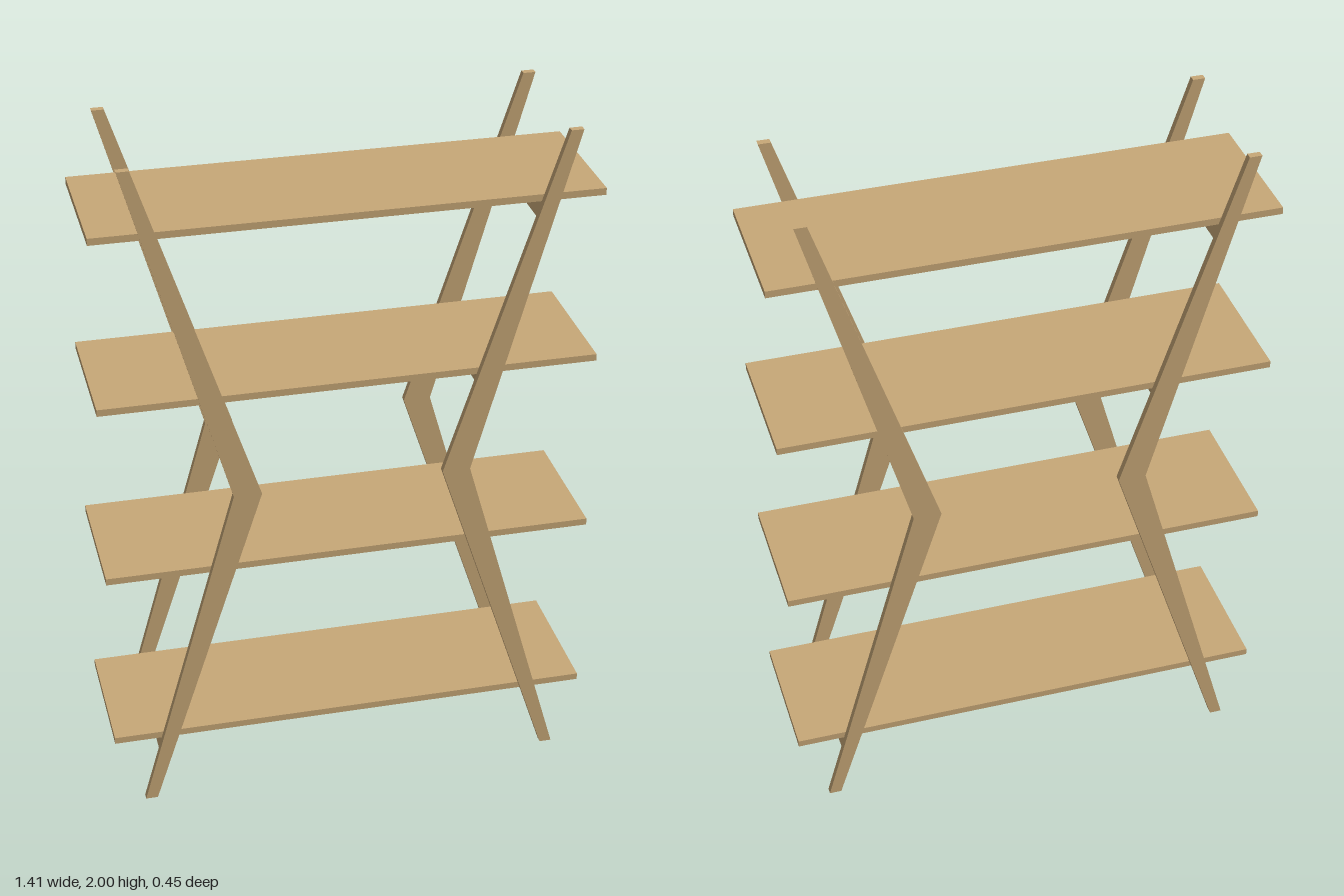
import * as THREE from 'three';

const wood = new THREE.MeshStandardMaterial({ color: 0xc8a878 });
wood.name = 'light wood';

// Extrude an outline of [x, y] points along z
function plank(name, points, z0, depth) {
  const shape = new THREE.Shape(points.map(([x, y]) => new THREE.Vector2(x, y)));
  const geometry = new THREE.ExtrudeGeometry(shape, { depth, bevelEnabled: false });
  geometry.translate(0, 0, z0);
  const mesh = new THREE.Mesh(geometry, wood);
  mesh.name = name;
  return mesh;
}

function box(name, w, h, d, x, y, z) {
  const mesh = new THREE.Mesh(new THREE.BoxGeometry(w, h, d), wood);
  mesh.name = name;
  mesh.position.set(x, y, z);
  return mesh;
}

export function createModel() {
  const group = new THREE.Group();
  group.name = 'bookshelf';
  const halfDepth = 0.205;
  const shelfBottoms = [0.2, 0.75, 1.29, 1.795];

  // Centre line of a leg at a given height
  const legX = (y) => 0.3 + 0.3075 * Math.abs(y - 1);

  // Four bent legs, widest at the knee
  for (const side of [1, -1]) {
    const outline = [[0.59, 0], [0.625, 0], [0.34, 1], [0.625, 2], [0.59, 2], [0.26, 1]]
      .map(([x, y]) => [x * side, y]);
    const sideName = side > 0 ? 'left' : 'right';
    group.add(plank(sideName + 'FrontLeg', outline, halfDepth, 0.02));
    group.add(plank(sideName + 'BackLeg', outline, -halfDepth - 0.02, 0.02));
  }

  shelfBottoms.forEach((y, i) => {
    group.add(box('shelf' + (i + 1), 1.41, 0.02, halfDepth * 2, 0, y + 0.01, 0));
    const middle = i === 1 || i === 2;
    const low = y - 0.052;

    // Cross rails between front and back legs; the outer pairs lean with the legs
    for (const side of [1, -1]) {
      const xTop = middle ? legX(y - 0.026) : legX(y);
      const xLow = middle ? xTop : legX(low);
      const t = 0.0125;
      const outline = [[xLow - t, low], [xLow + t, low], [xTop + t, y], [xTop - t, y]]
        .map(([x, h]) => [x * side, h]);
      group.add(plank('crossRail', outline, -halfDepth, halfDepth * 2));
    }

    // Lengthwise rail under the two middle shelves
    if (middle) {
      const length = 2 * (legX(y - 0.026) - 0.0125);
      group.add(box('longRail', length, 0.052, 0.022, 0, y - 0.026, 0));
    }
  });

  return group;
}
